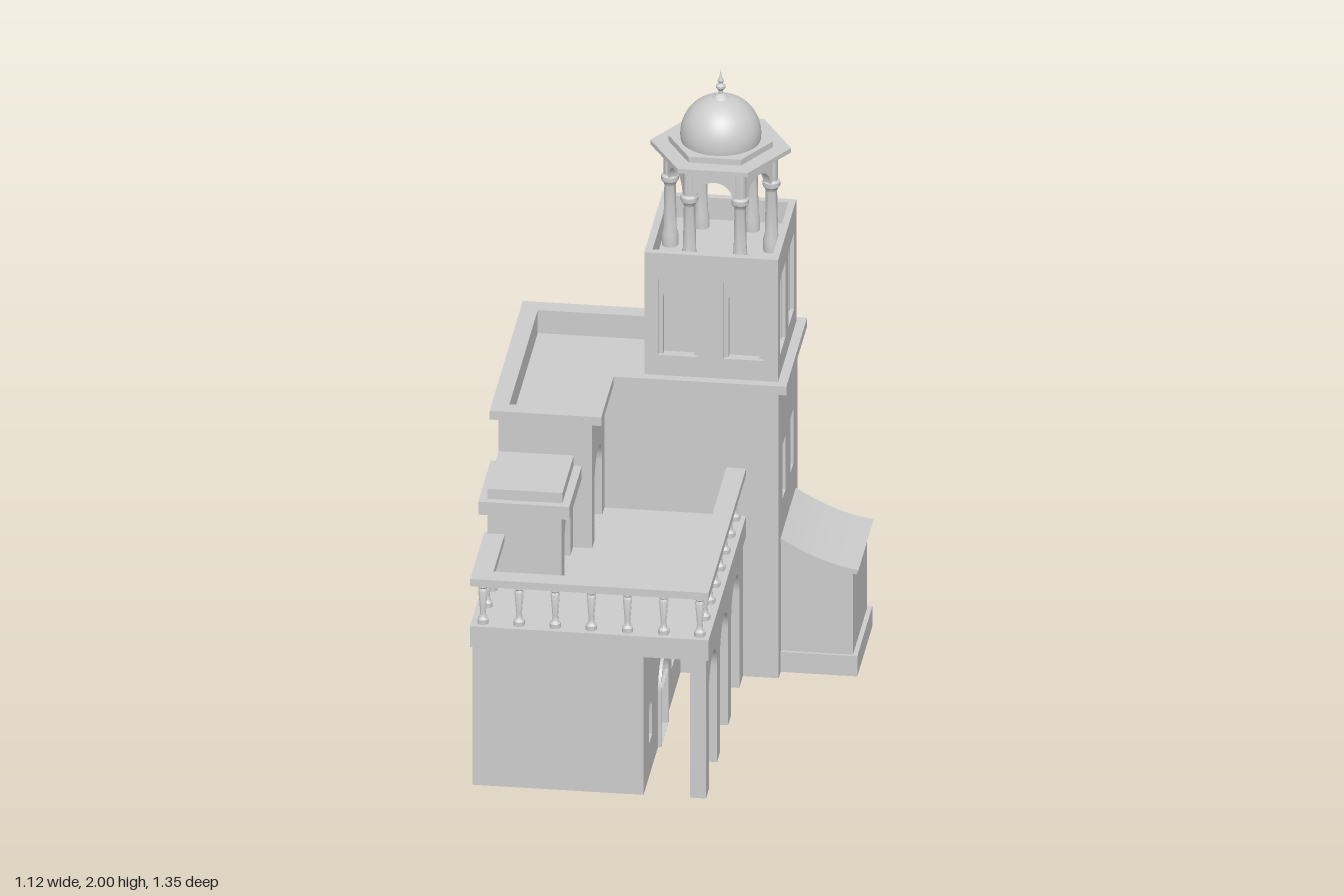
import * as THREE from 'three';
import { toCreasedNormals } from 'three/addons/utils/BufferGeometryUtils.js';

const material = new THREE.MeshStandardMaterial({ color: 0xcccccc, side: THREE.DoubleSide });

function add(parent, name, geometry, x = 0, y = 0, z = 0) {
  const mesh = new THREE.Mesh(geometry, material);
  mesh.name = name;
  mesh.position.set(x, y, z);
  parent.add(mesh);
  return mesh;
}

// Box given by its limits
function box(parent, name, x0, x1, y0, y1, z0, z1) {
  return add(parent, name, new THREE.BoxGeometry(x1 - x0, y1 - y0, z1 - z0),
    (x0 + x1) / 2, (y0 + y1) / 2, (z0 + z1) / 2);
}

function outline(points, Type = THREE.Shape) {
  return new Type(points.map(p => new THREE.Vector2(...p)));
}

const rectPoints = (x0, x1, y0, y1) => [[x0, y0], [x1, y0], [x1, y1], [x0, y1]];

function extrude(shape, depth) {
  return toCreasedNormals(
    new THREE.ExtrudeGeometry(shape, { depth, bevelEnabled: false, curveSegments: 16 }), 0.5);
}

// Plan shape in (x, z) raised from y0 to y1, with an optional opening
function plan(parent, name, points, y0, y1, hole) {
  const flip = list => list.map(([x, z]) => [x, -z]);
  const shape = outline(flip(points));
  if (hole) shape.holes.push(outline(flip(hole), THREE.Path));
  return add(parent, name, extrude(shape, y1 - y0).rotateX(-Math.PI / 2), 0, y0, 0);
}

// Opening centred on c; an arched one ends in a half circle
function opening(c, { w, y0, y1, arched }) {
  const r = w / 2;
  if (!arched) return outline(rectPoints(c - r, c + r, y0, y1), THREE.Path);
  const path = new THREE.Path();
  path.moveTo(c - r, y0).lineTo(c + r, y0).lineTo(c + r, y1 - r);
  path.absarc(c, y1 - r, r, 0, Math.PI, false);
  path.lineTo(c - r, y0);
  return path;
}

const arch = (c, w, y0, y1) => ({ c, w, y0, y1, arched: true });
const rect = (c, w, y0, y1) => ({ c, w, y0, y1 });

const SIDES = {
  front: { sign: 1, angle: 0 },
  back: { sign: -1, angle: Math.PI },
  left: { sign: -1, angle: Math.PI / 2 },
  right: { sign: 1, angle: -Math.PI / 2 }
};

// Pierced wall panel; a0..a1 runs along the wall, dist is its outer plane
function panel(parent, name, side, a0, a1, y0, y1, dist, depth, holes) {
  const { sign, angle } = SIDES[side];
  const shape = outline(rectPoints(Math.min(a0 * sign, a1 * sign), Math.max(a0 * sign, a1 * sign), y0, y1));
  holes.forEach(h => shape.holes.push(opening(h.c * sign, h)));
  return add(parent, name, extrude(shape, depth).translate(0, 0, dist - depth).rotateY(angle));
}

// Solid block whose listed sides carry recessed openings
function nichedBlock(parent, name, [x0, x1, y0, y1, z0, z1], d, faces) {
  const g = new THREE.Group();
  g.name = name;
  parent.add(g);
  const l = faces.left ? d : 0, r = faces.right ? d : 0;
  const f = faces.front ? d : 0, b = faces.back ? d : 0;
  box(g, 'core', x0 + r, x1 - l, y0, y1, z0 + b, z1 - f);
  if (l) panel(g, 'leftWall', 'left', z0, z1, y0, y1, x1, d, faces.left);
  if (r) panel(g, 'rightWall', 'right', z0, z1, y0, y1, -x0, d, faces.right);
  if (f) panel(g, 'frontWall', 'front', x0 + r, x1 - l, y0, y1, z1, d, faces.front);
  if (b) panel(g, 'backWall', 'back', x0 + r, x1 - l, y0, y1, -z0, d, faces.back);
  return g;
}

function lathe(points, segments) {
  return toCreasedNormals(
    new THREE.LatheGeometry(points.map(p => new THREE.Vector2(...p)), segments), 0.6);
}

export function createModel() {
  const model = new THREE.Group();
  model.name = 'towerHouse';

  // Main house, L-shaped in plan
  nichedBlock(model, 'mainHouse', [-0.535, 0.31, 0, 0.95, -0.65, -0.21], 0.025, {
    left: [rect(-0.34, 0.07, 0.58, 0.77), rect(-0.522, 0.065, 0.58, 0.77)],
    right: [rect(-0.435, 0.12, 0.56, 0.8)]
  });
  nichedBlock(model, 'frontWing', [-0.535, -0.24, 0.5, 0.95, -0.21, 0.08], 0.025, {
    left: [arch(-0.067, 0.185, 0.561, 0.84)]
  });

  // Roof parapet and cornice around the sunken roof
  const ell = (x0, x1, xArm, z0, zIn, z1) =>
    [[x0, z0], [x1, z0], [x1, zIn], [xArm, zIn], [xArm, z1], [x0, z1]];
  const sunken = ell(-0.505, -0.1, -0.265, -0.62, -0.24, 0.05);
  plan(model, 'parapet', ell(-0.535, 0.31, -0.24, -0.65, -0.21, 0.08), 0.95, 1, sunken);
  plan(model, 'cornice', ell(-0.56, 0.337, -0.208, -0.678, -0.187, 0.103), 1, 1.03, sunken);

  // Tower: arched niches set inside rectangular frames
  const T = { x0: -0.115, x1: 0.307, z0: -0.65, z1: -0.218, y0: 0.95, y1: 1.38 };
  const t = 0.012;
  const pair = (a, b, make) => [make(a), make(b)];
  const frame = c => rect(c, 0.125, 1.1, 1.365);
  const niche = c => arch(c, 0.098, 1.1, 1.345);
  const door = [rect(-0.43, 0.19, 0.951, 1.28)];
  nichedBlock(model, 'towerNiches', [T.x0 + t, T.x1 - t, T.y0, T.y1, T.z0 + t, T.z1 - t], 0.02, {
    front: pair(-0.008, 0.198, niche), back: pair(-0.008, 0.198, niche),
    left: pair(-0.33, -0.53, niche), right: [rect(-0.43, 0.16, 0.951, 1.26)]
  });
  panel(model, 'towerFront', 'front', T.x0 + t, T.x1 - t, T.y0, T.y1, T.z1, t, pair(-0.008, 0.198, frame));
  panel(model, 'towerBack', 'back', T.x0 + t, T.x1 - t, T.y0, T.y1, -T.z0, t, pair(-0.008, 0.198, frame));
  panel(model, 'towerLeft', 'left', T.z0, T.z1, T.y0, T.y1, T.x1, t, pair(-0.33, -0.53, frame));
  panel(model, 'towerRight', 'right', T.z0, T.z1, T.y0, T.y1, -T.x0, t, door);
  plan(model, 'towerParapet', rectPoints(T.x0, T.x1, T.z0, T.z1), T.y1, 1.455,
    rectPoints(-0.092, 0.285, -0.626, -0.242));

  // Six-sided domed pavilion
  const pavilion = new THREE.Group();
  pavilion.name = 'pavilion';
  pavilion.position.set(0.097, 0, -0.436);
  model.add(pavilion);
  const column = lathe([[0, 1.38], [0.026, 1.38], [0.026, 1.42], [0.021, 1.44], [0.018, 1.59], [0.022, 1.6],
    [0.028, 1.607], [0.028, 1.622], [0.02, 1.628], [0.02, 1.725], [0, 1.725]], 12);
  const spandrel = new THREE.Shape();
  spandrel.moveTo(-0.083, 1.622).lineTo(-0.057, 1.622);
  spandrel.absarc(0, 1.622, 0.057, Math.PI, 0, true);
  spandrel.lineTo(0.083, 1.622).lineTo(0.083, 1.725).lineTo(-0.083, 1.725);
  const spandrelGeometry = extrude(spandrel, 0.03).translate(0, 0, 0.123);
  for (let i = 0; i < 6; i++) {
    const a = i * Math.PI / 3;
    add(pavilion, 'column', column, 0.16 * Math.cos(a), 0, 0.16 * Math.sin(a));
    add(pavilion, 'archPanel', spandrelGeometry).rotation.y = a;
  }
  const hexagon = (r, h) => new THREE.CylinderGeometry(r, r, h, 6).rotateY(Math.PI / 6).toNonIndexed();
  const slab = (name, r, y0, y1) => {
    const geometry = hexagon(r, y1 - y0);
    geometry.computeVertexNormals();
    add(pavilion, name, geometry, 0, (y0 + y1) / 2, 0);
  };
  slab('eave', 0.222, 1.725, 1.74);
  slab('domeBase', 0.165, 1.74, 1.76);
  add(pavilion, 'dome', new THREE.SphereGeometry(0.127, 40, 20, 0, Math.PI * 2, 0, Math.PI * 0.56), 0, 1.779, 0);
  add(pavilion, 'finial', lathe([[0.03, 1.9], [0.018, 1.912], [0.007, 1.918], [0.007, 1.928], [0.015, 1.938],
    [0.015, 1.945], [0.006, 1.953], [0.01, 1.962], [0.004, 1.975], [0, 2]], 14));

  // Ground-floor room behind the arcade
  nichedBlock(model, 'groundRoom', [-0.54, 0, 0, 0.49, -0.21, 0.66], 0.025, {
    left: [arch(0.498, 0.078, 0.115, 0.25), arch(0.23, 0.165, 0.001, 0.27), arch(-0.032, 0.078, 0.115, 0.25)]
  });
  panel(model, 'doorFrame', 'left', 0.14, 0.32, 0, 0.19, 0.01, 0.01, [rect(0.23, 0.165, 0.0005, 0.1895)]);
  const doorArch = new THREE.Shape();
  doorArch.absarc(0, 0, 0.09, 0, Math.PI, false);
  doorArch.absarc(0, 0, 0.0825, Math.PI, 0, true);
  add(model, 'doorFrameArch', extrude(doorArch, 0.01).rotateY(Math.PI / 2), 0, 0.19, 0.23);

  // Open arcade, with its legs reaching the ground
  const arcade = outline([[-0.66, 0], [-0.66, 0.49], [0.21, 0.49], [0.21, 0]]);
  [-0.03, 0.235, 0.497].forEach(z => {
    arcade.lineTo(-z + 0.096, 0).lineTo(-z + 0.096, 0.334);
    arcade.absarc(-z, 0.334, 0.096, 0, Math.PI, false);
    arcade.lineTo(-z - 0.096, 0);
  });
  add(model, 'arcade', extrude(arcade, 0.05).rotateY(Math.PI / 2), 0.147, 0, 0);

  // Terrace slab with balustrade on three sides
  box(model, 'terrace', -0.545, 0.207, 0.488, 0.56, -0.21, 0.675);
  plan(model, 'handrail', [[-0.545, 0.34], [-0.545, 0.675], [0.207, 0.675], [0.207, -0.21],
    [0.145, -0.21], [0.145, 0.612], [-0.48, 0.612], [-0.48, 0.34]], 0.7, 0.725);
  const baluster = lathe([[0.018, 0.56], [0.018, 0.575], [0.011, 0.583], [0.009, 0.6], [0.015, 0.675],
    [0.011, 0.682], [0.018, 0.688], [0.018, 0.7]], 10);
  for (let i = 0; i < 7; i++) add(model, 'frontBaluster', baluster, 0.175 - i * 0.114, 0, 0.643);
  for (let i = 1; i < 8; i++) add(model, 'leftBaluster', baluster, 0.175, 0, 0.643 - i * 0.1175);
  for (let i = 1; i < 3; i++) add(model, 'rightBaluster', baluster, -0.512, 0, 0.643 - i * 0.1175);

  // Small stair house on the terrace
  nichedBlock(model, 'stairHouse', [-0.535, -0.3, 0.56, 0.8, 0.08, 0.348], 0.025, {
    left: [arch(0.212, 0.14, 0.561, 0.752)]
  });
  box(model, 'stairHouseEave', -0.56, -0.273, 0.8, 0.845, 0.08, 0.372);
  box(model, 'stairHouseRoof', -0.535, -0.298, 0.845, 0.88, 0.08, 0.348);

  // Side annex under a curved lean-to roof
  const annex = new THREE.Shape();
  annex.moveTo(0.31, 0).lineTo(0.537, 0).lineTo(0.537, 0.358);
  annex.quadraticCurveTo(0.43, 0.38, 0.31, 0.452);
  add(model, 'annex', extrude(annex, 0.335), 0, 0, -0.6);
  box(model, 'annexPlinth', 0.31, 0.552, 0, 0.07, -0.613, -0.255);
  const roof = new THREE.Shape();
  roof.moveTo(0.308, 0.45).quadraticCurveTo(0.42, 0.378, 0.55, 0.356);
  roof.lineTo(0.556, 0.372).quadraticCurveTo(0.43, 0.39, 0.308, 0.468);
  add(model, 'annexRoof', extrude(roof, 0.36), 0, 0, -0.614);

  return model;
}
